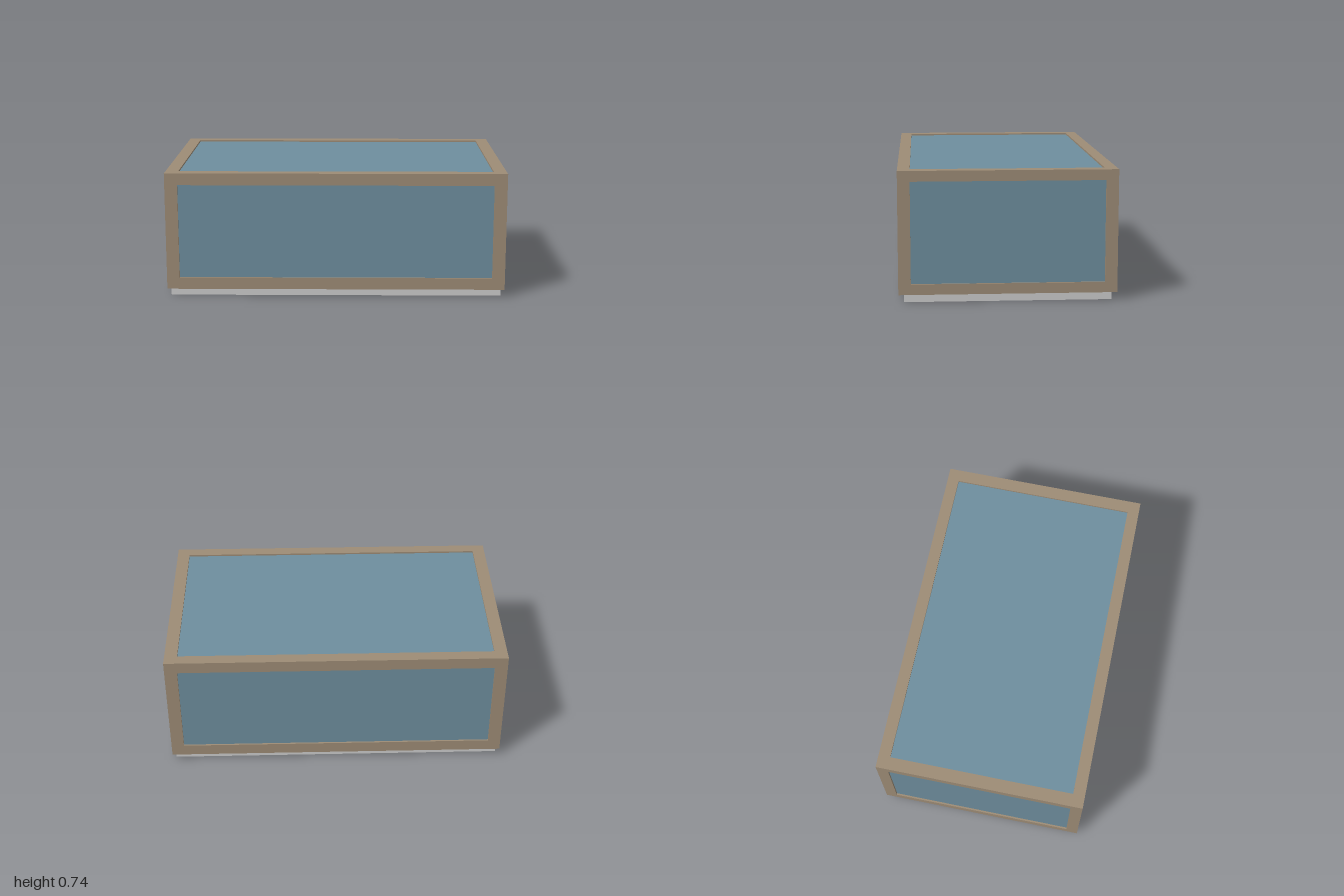
import * as THREE from 'three';

export function createModel() {
  const model = new THREE.Group();
  const wood = new THREE.MeshStandardMaterial({ color: 0x9d8c76 });
  const glass = new THREE.MeshStandardMaterial({ color: 0x6e8e9e });
  const grey = new THREE.MeshStandardMaterial({ color: 0xcccccc });

  const W = 2, D = 1.23, bottom = 0.045, top = 0.743;
  const H = top - bottom, midY = (top + bottom) / 2;
  const postX = 0.075, postZ = 0.07, railLong = 0.07, railSide = 0.06, recess = 0.01;

  function box(name, material, size, position, parent = model) {
    const mesh = new THREE.Mesh(new THREE.BoxGeometry(...size), material);
    mesh.name = name;
    mesh.position.set(...position);
    parent.add(mesh);
  }

  // Plinth, set in from the frame
  box('plinth', grey, [1.96, bottom, 1.17], [0, bottom / 2, 0]);

  // Panels: one body set slightly behind the frame on every side
  box('panels', glass, [W - 2 * recess, H - 2 * recess, D - 2 * recess], [0, midY, 0]);

  // Frame: four corner posts, four long rails and four side rails
  const frame = new THREE.Group();
  frame.name = 'frame';
  model.add(frame);
  for (const a of [-1, 1]) {
    for (const b of [-1, 1]) {
      box('cornerPost', wood, [postX, H, postZ],
        [a * (W - postX) / 2, midY, b * (D - postZ) / 2], frame);
      box('longRail', wood, [W - 2 * postX, railLong, postZ],
        [0, midY + a * (H - railLong) / 2, b * (D - postZ) / 2], frame);
      box('sideRail', wood, [postX, railSide, D - 2 * postZ],
        [a * (W - postX) / 2, midY + b * (H - railSide) / 2, 0], frame);
    }
  }
  return model;
}
